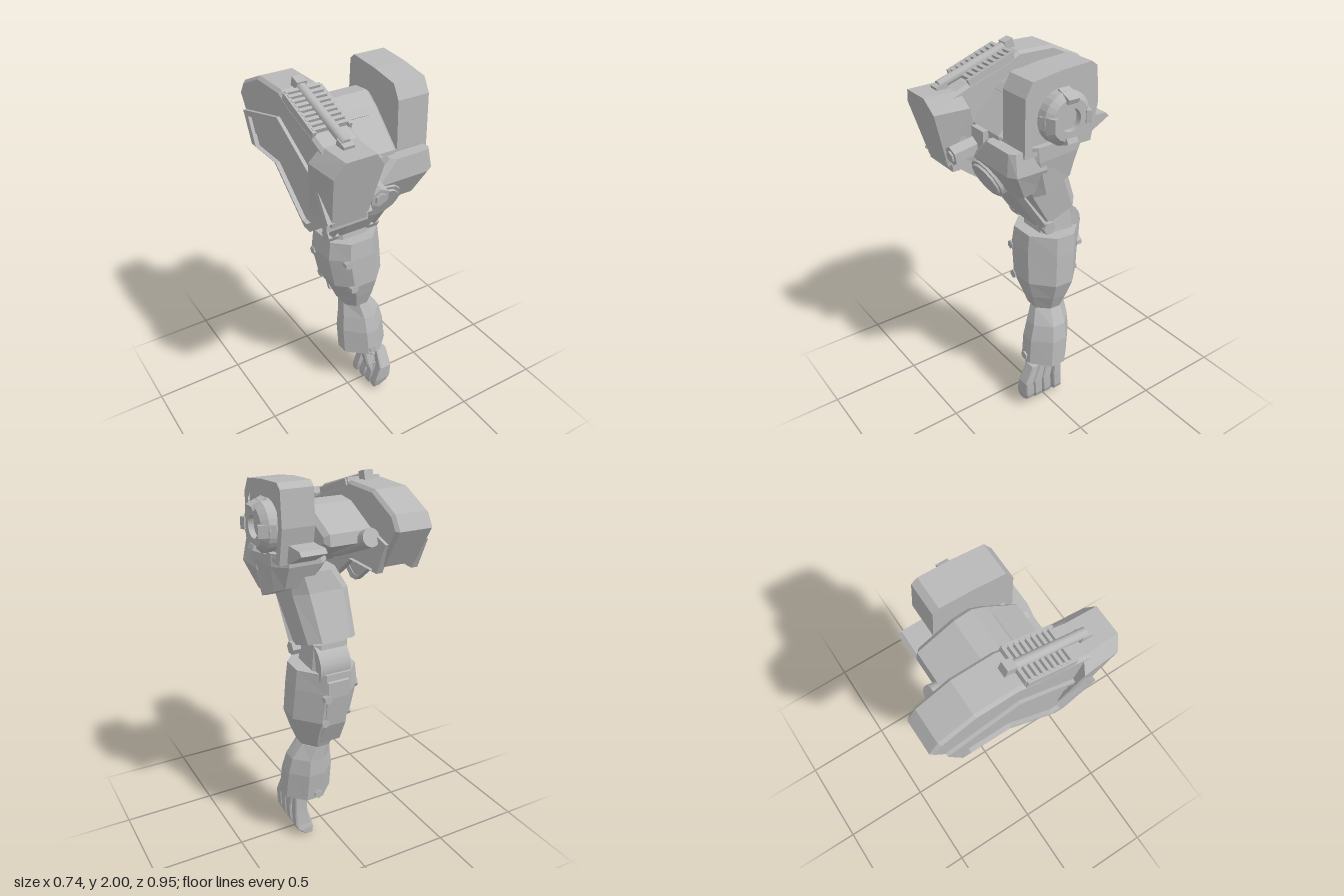
import * as THREE from 'three';

const metal = new THREE.MeshStandardMaterial({ color: 0xb8b8b8 });
metal.name = 'armour grey';

export function createModel() {
  const root = new THREE.Group();
  root.name = 'mechanicalArm';

  const add = (name, geo, faceted = true) => {
    if (faceted) {
      if (geo.index) geo = geo.toNonIndexed();
      geo.computeVertexNormals();
    }
    const m = new THREE.Mesh(geo, metal);
    m.name = name;
    root.add(m);
    return m;
  };
  const outline = (pts, T = THREE.Shape) => new T(pts.map(([z, y]) => new THREE.Vector2(-z, y)));

  // Side profile given as [z, y], running from x0 to x1, with optional chamfer and opening
  const slab = (name, pts, x0, x1, bevel = 0, hole = null) => {
    const s = outline(pts);
    if (hole) s.holes.push(outline(hole, THREE.Path));
    const g = new THREE.ExtrudeGeometry(s, {
      depth: x1 - x0 - 2 * bevel, bevelEnabled: bevel > 0,
      bevelSize: bevel, bevelThickness: bevel, bevelOffset: -bevel, bevelSegments: 1
    });
    return add(name, g.rotateY(Math.PI / 2).translate(x0 + bevel, 0, 0));
  };
  const shrink = (pts, k, cz, cy) => pts.map(([z, y]) => [cz + (z - cz) * k, cy + (y - cy) * k]);

  // Chamfered sections from top to bottom: [yFront, yBack, x0, x1, z0, z1];
  // cuts are for the corners back left, front left, front right, back right
  const loft = (name, rows, cuts = [0.3, 0.3, 0.3, 0.3]) => {
    const corners = [[1, -1], [1, 1], [-1, 1], [-1, -1]];
    const rings = rows.map(([yf, yb, x0, x1, z0, z1]) => {
      const ring = [];
      corners.forEach(([a, b], i) => {
        const c = 1 - 2 * cuts[i];
        const two = [[a * c, b], [a, b * c]];
        if (i % 2) two.reverse();
        for (const [u, v] of two) {
          ring.push([(x0 + x1) / 2 + u * (x1 - x0) / 2,
            yb + (yf - yb) * (v + 1) / 2, (z0 + z1) / 2 + v * (z1 - z0) / 2]);
        }
      });
      return ring;
    });
    const p = [];
    for (let r = 0; r < rings.length - 1; r++) {
      for (let i = 0; i < 8; i++) {
        const j = (i + 1) % 8, a = rings[r], b = rings[r + 1];
        p.push(...a[i], ...a[j], ...b[i], ...a[j], ...b[j], ...b[i]);
      }
    }
    const top = rings[0], low = rings[rings.length - 1];
    for (let i = 1; i < 7; i++) {
      p.push(...top[0], ...top[i + 1], ...top[i], ...low[0], ...low[i], ...low[i + 1]);
    }
    const g = new THREE.BufferGeometry();
    g.setAttribute('position', new THREE.Float32BufferAttribute(p, 3));
    return add(name, g);
  };
  const even = c => [c, c, c, c];

  // Round or prismatic rod between two points
  const rod = (name, a, b, r0, r1 = r0, sides = 6) => {
    const A = new THREE.Vector3(...a), B = new THREE.Vector3(...b), d = B.clone().sub(A);
    const m = add(name, new THREE.CylinderGeometry(r1, r0, d.length(), sides), sides < 12);
    m.position.copy(A).add(B).multiplyScalar(0.5);
    m.quaternion.setFromUnitVectors(new THREE.Vector3(0, 1, 0), d.normalize());
    return m;
  };
  const box = (name, w, h, d, x, y, z, rx = 0) => {
    const m = add(name, new THREE.BoxGeometry(w, h, d));
    m.position.set(x, y, z);
    m.rotation.x = rx;
    return m;
  };

  // Weapon pod body, raised above its side walls to leave an open tray below
  slab('podBody', [[-0.475, 1.8], [-0.43, 1.87], [-0.26, 1.95], [-0.05, 1.955], [0.03, 1.915],
    [0.24, 1.85], [0.4, 1.79], [0.35, 1.53], [0.1, 1.58], [-0.12, 1.66], [-0.36, 1.61]], -0.33, -0.13, 0.015);
  const frame = [[-0.34, 1.575], [-0.41, 1.73], [-0.05, 1.83], [0.29, 1.64], [0.385, 1.49],
    [0.22, 1.365], [0.17, 1.365], [-0.1, 1.58]];
  for (const [x, inner] of [[-0.347, -0.325], [-0.148, -0.142]]) {
    slab('podSideFrame', frame, x, x + 0.035, 0, shrink(frame, 0.88, 0, 1.6));
    slab('podSidePanel', shrink(frame, 0.9, 0, 1.6), inner, inner + 0.009);
  }
  box('podLowerBar', 0.22, 0.05, 0.04, -0.23, 1.46, 0.34);
  // Six-sided nose, tapered to the front and leaning back
  const hex = [[-0.315, 1.825], [-0.145, 1.825], [-0.09, 1.75], [-0.13, 1.46], [-0.33, 1.46], [-0.37, 1.75]];
  const nose = new THREE.ExtrudeGeometry(new THREE.Shape(hex.map(p => new THREE.Vector2(...p))),
    { depth: 0.185, bevelEnabled: false });
  const np = nose.attributes.position;
  for (let i = 0; i < np.count; i++) {
    const k = np.getZ(i) > 0.1 ? 0.9 : 1;
    np.setXYZ(i, -0.23 + (np.getX(i) + 0.23) * k, np.getY(i), np.getZ(i) + 0.235 + (np.getY(i) - 1.63) * 0.27);
  }
  add('podNose', nose);

  // Cooling ribs and the rail over them
  for (let i = 0; i < 9; i++) {
    const z = -0.015 + i * 0.029;
    box('coolingRib', 0.18, 0.05, 0.018, -0.23, 1.938 - i * 0.0105, z, 0.34);
  }
  rod('topRail', [-0.23, 1.97, -0.06], [-0.23, 1.84, 0.35], 0.024, 0.024, 16);
  box('railRearMount', 0.05, 0.06, 0.05, -0.23, 1.965, -0.045, 0.3);
  box('railFrontMount', 0.055, 0.06, 0.06, -0.23, 1.82, 0.34, 0.3);
  for (const x of [-0.32, -0.14]) box('ribCheek', 0.018, 0.05, 0.27, x, 1.89, 0.11, 0.34);

  // Central block between pod and shoulder
  slab('centralBlock', [[-0.29, 1.72], [-0.28, 1.775], [-0.09, 1.87], [0, 1.88], [0.07, 1.83],
    [0.24, 1.67], [0.24, 1.58], [0.1, 1.53], [-0.05, 1.61]], -0.14, 0.125, 0.022);
  box('blockSlot', 0.18, 0.006, 0.03, -0.035, 1.812, 0.09, 0.755);
  rod('rearBarrel', [-0.08, 1.63, -0.03], [-0.083, 1.752, -0.335], 0.045, 0.045, 20);
  slab('rearFin', [[-0.295, 1.695], [-0.275, 1.715], [-0.1, 1.72], [-0.1, 1.62], [-0.17, 1.63]], 0.12, 0.255);
  rod('nozzle', [-0.07, 1.58, 0.2], [-0.075, 1.545, 0.39], 0.05, 0.05, 6);
  rod('nozzleCore', [-0.075, 1.546, 0.38], [-0.075, 1.543, 0.4], 0.03, 0.03, 6);

  // Shoulder housing with a raised arch rim on both sides
  const arch = [[0.23, 1.62], [0.225, 1.9], [0.185, 1.968], [0.03, 1.99], [-0.14, 2],
    [-0.172, 1.975], [-0.185, 1.8], [-0.15, 1.62]];
  slab('shoulderHousing', arch, 0.15, 0.27);
  for (const x of [0.125, 0.27]) {
    slab('shoulderArchRim', arch, x, x + 0.025, 0, shrink(arch, 0.8, 0.015, 1.75));
  }
  // Round pivot with four tabs
  const ring = new THREE.LatheGeometry([[0.128, 0.25], [0.128, 0.32], [0.1, 0.35], [0.055, 0.35], [0.055, 0.27]]
    .map(p => new THREE.Vector2(...p)), 28).rotateZ(-Math.PI / 2).translate(0, 1.775, 0.015);
  add('pivotRing', ring);
  rod('pivotHub', [0.25, 1.775, 0.015], [0.32, 1.775, 0.015], 0.056, 0.056, 20);
  for (let i = 0; i < 4; i++) {
    const g = new THREE.BoxGeometry(0.085, 0.026, 0.06).rotateZ(-0.4).translate(0.325, 0.108, 0);
    add('pivotTab', g.rotateX(i * Math.PI / 2).translate(0, 1.775, 0.015));
  }

  // Shoulder skirt and front collar
  loft('shoulderSkirt', [[1.66, 1.66, 0.04, 0.3, -0.14, 0.23], [1.58, 1.6, 0, 0.3, -0.14, 0.22],
    [1.38, 1.48, 0.08, 0.28, -0.09, 0.14]], even(0.2));
  loft('frontCollar', [[1.65, 1.65, 0.06, 0.28, 0.1, 0.29], [1.54, 1.54, -0.06, 0.3, 0.08, 0.3],
    [1.4, 1.42, 0.08, 0.25, 0.05, 0.22]], even(0.12));
  rod('frontJoint', [0.02, 1.5, 0.1], [0.02, 1.425, 0.255], 0.12, 0.112, 12);
  rod('frontJointCap', [0.02, 1.43, 0.245], [0.02, 1.42, 0.265], 0.095, 0.095, 12);
  box('collarClamp', 0.1, 0.14, 0.06, -0.03, 1.6, 0.24);

  // Upper arm, leaning backward to the elbow
  loft('upperArm', [[1.55, 1.55, -0.05, 0.2, -0.11, 0.15], [1.37, 1.45, -0.12, 0.19, -0.13, 0.19],
    [1.13, 1.22, -0.11, 0.16, -0.22, 0.03]], even(0.2));
  for (const x of [-0.1, 0.15]) {
    rod('armStrut', [x, 1.46, 0.22], [x, 1.13, 0.0], 0.024, 0.024, 4);
    rod('strutBolt', [x - 0.03, 1.13, -0.01], [x + 0.03, 1.13, -0.01], 0.036);
  }

  // Elbow
  rod('elbowDrum', [-0.04, 1.08, -0.13], [0.13, 1.08, -0.13], 0.12, 0.12, 24);
  loft('elbowBlock', [[1.16, 1.2, -0.06, 0.13, -0.2, -0.01], [1.02, 1.02, -0.06, 0.15, -0.22, 0.01]], even(0.15));

  // Forearm shell and wrist cuff
  loft('forearm', [[1.08, 1.06, -0.1, 0.21, -0.26, 0.07], [0.98, 0.95, -0.115, 0.22, -0.26, 0.08],
    [0.8, 0.78, -0.085, 0.23, -0.24, 0.085], [0.7, 0.69, -0.035, 0.2, -0.2, 0.055],
    [0.61, 0.6, 0, 0.165, -0.165, 0.025]], [0.35, 0.32, 0.25, 0.22]);
  loft('wristCuff', [[0.61, 0.6, 0, 0.165, -0.165, 0.025], [0.52, 0.52, -0.01, 0.22, -0.165, 0.06],
    [0.43, 0.43, -0.022, 0.24, -0.17, 0.085], [0.28, 0.27, -0.02, 0.25, -0.155, 0.1]], [0.32, 0.34, 0.38, 0.33]);
  // Rear armour strip and bolts
  slab('rearStrip', [[-0.24, 1.03], [-0.272, 1.02], [-0.268, 0.93], [-0.24, 0.76], [-0.18, 0.63],
    [-0.16, 0.63], [-0.22, 0.8]], -0.02, 0.1);
  for (const [y, x, z] of [[0.96, -0.04, 0.045], [0.79, -0.01, 0.05], [0.31, 0.11, 0.065]]) {
    rod('frontBolt', [x, y, z], [x, y, z + 0.04], 0.024);
  }
  for (const [y, x, z] of [[0.94, -0.1, -0.17], [0.78, -0.065, -0.16]]) {
    rod('sideBolt', [x + 0.02, y, z], [x - 0.02, y, z], 0.024);
  }
  for (const [y, z] of [[0.93, -0.265], [0.78, -0.235], [0.3, -0.16]]) {
    rod('rearBolt', [0.1, y, z + 0.02], [0.1, y, z - 0.012], 0.024);
  }

  // Hand: wrist stub, four curled fingers and a thumb
  loft('wrist', [[0.32, 0.32, 0.06, 0.2, -0.1, 0.07], [0.25, 0.25, 0.08, 0.2, -0.09, 0.09]]);
  const fingers = [[0.085, 0.128, 0.05], [0.035, 0.07, 0.03], [-0.02, 0.01, 0.025], [-0.07, -0.065, 0]];
  for (const [z, zm, up] of fingers) {
    const h = 0.021, w = 0.027, y = up * 0.4;
    loft('finger', [[0.28, 0.28, 0.135, 0.2, z - h, z + h], [0.16 + y, 0.16 + y, 0.13, 0.205, zm - w, zm + w],
      [0.07 + y, 0.07 + y, 0.105, 0.203, zm - w - 0.006, zm + w - 0.004],
      [0.04 + y, 0.04 + y, 0.1, 0.192, zm - w - 0.012, zm + w - 0.012],
      [0.005 + y, 0.005 + y, 0.105, 0.15, zm - h - 0.018, zm + h - 0.018]], even(0.1));
  }
  loft('thumb', [[0.28, 0.28, 0.07, 0.13, 0.01, 0.07], [0.18, 0.18, 0.085, 0.14, 0.04, 0.085],
    [0.09, 0.09, 0.115, 0.155, 0.055, 0.09]], even(0.15));

  return root;
}
